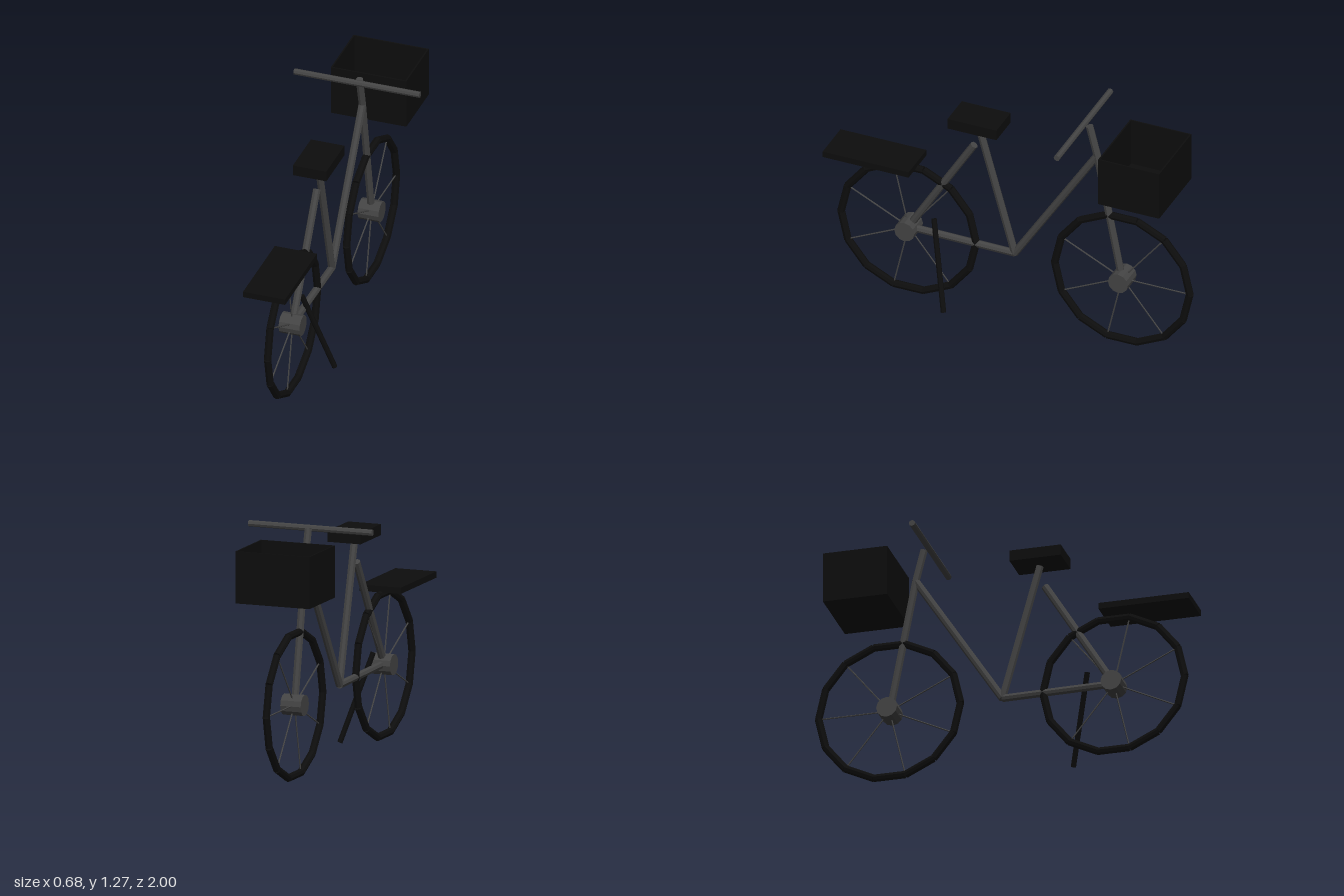
import * as THREE from 'three';

const frameMat = new THREE.MeshStandardMaterial({ color: 0x444444, flatShading: true });
frameMat.name = 'frame grey';
const blackMat = new THREE.MeshStandardMaterial({ color: 0x0d0d0d, flatShading: true });
blackMat.name = 'matte black';

const V = (x, y, z) => new THREE.Vector3(x, y, z);

// straight tube between two points
function rod(name, a, b, radius, mat, sides = 8) {
  const dir = b.clone().sub(a);
  const mesh = new THREE.Mesh(new THREE.CylinderGeometry(radius, radius, dir.length(), sides), mat);
  mesh.position.copy(a).add(b).multiplyScalar(0.5);
  mesh.quaternion.setFromUnitVectors(V(0, 1, 0), dir.normalize());
  mesh.name = name;
  return mesh;
}

function box(name, w, h, d, x, y, z, mat) {
  const mesh = new THREE.Mesh(new THREE.BoxGeometry(w, h, d), mat);
  mesh.position.set(x, y, z);
  mesh.name = name;
  return mesh;
}

// tyre of straight segments, a spoke at every second corner, and a hub
function wheel(name, z) {
  const group = new THREE.Group();
  const sides = 14, R = 0.373;
  const corner = i => {
    const a = (i / sides) * Math.PI * 2;
    return V(0, Math.sin(a) * R, -Math.cos(a) * R);
  };
  for (let i = 0; i < sides; i++) {
    group.add(rod('tyreSegment', corner(i), corner(i + 1), 0.02, blackMat));
    if (i % 2 === 0) group.add(rod('spoke', V(0, 0, 0), corner(i), 0.004, frameMat, 5));
  }
  group.add(rod('hub', V(-0.056, 0, 0), V(0.056, 0, 0), 0.055, frameMat, 12));
  group.position.set(0, 0.384, z);
  group.name = name;
  return group;
}

export function createModel() {
  const bike = new THREE.Group();
  bike.name = 'bicycle';

  bike.add(wheel('frontWheel', -0.606), wheel('rearWheel', 0.574));

  // frame tubes
  const crank = V(0, 0.38, -0.012), head = V(0, 1.09, -0.468);
  const rearAxle = V(0, 0.386, 0.574), frontAxle = V(0, 0.386, -0.604);
  const tubes = [
    ['seatTube', crank, V(0, 1.09, 0.185)],
    ['seatStay', rearAxle, V(0, 0.975, 0.212)],
    ['chainStay', rearAxle, crank],
    ['downTube', crank, head],
    ['fork', head, frontAxle],
    ['stem', head, V(0, 1.258, -0.425)],
  ];
  for (const [name, a, b] of tubes) bike.add(rod(name, a, b, 0.02, frameMat));
  bike.add(rod('handlebar', V(-0.338, 1.256, -0.392), V(0.338, 1.256, -0.392), 0.0165, frameMat));

  // saddle, luggage rack and kickstand
  bike.add(box('saddle', 0.18, 0.057, 0.27, 0, 1.128, 0.185, blackMat));
  bike.add(box('luggageRack', 0.226, 0.032, 0.475, 0, 0.777, 0.7625, blackMat));
  bike.add(rod('kickstand', V(0, 0.468, 0.434), V(0.136, 0.014, 0.322), 0.014, blackMat));

  // open-topped basket
  const basket = new THREE.Group();
  basket.name = 'basket';
  const w = 0.406, h = 0.268, d = 0.338, t = 0.008;
  basket.add(box('basketFloor', w, t, d, 0, t / 2, 0, blackMat));
  for (const s of [-1, 1]) {
    basket.add(box('basketSide', t, h - t, d, s * (w - t) / 2, (h + t) / 2, 0, blackMat));
    basket.add(box('basketEnd', w - 2 * t, h - t, t, 0, (h + t) / 2, s * (d - t) / 2, blackMat));
  }
  basket.position.set(0, 0.943, -0.73);
  bike.add(basket);

  return bike;
}
